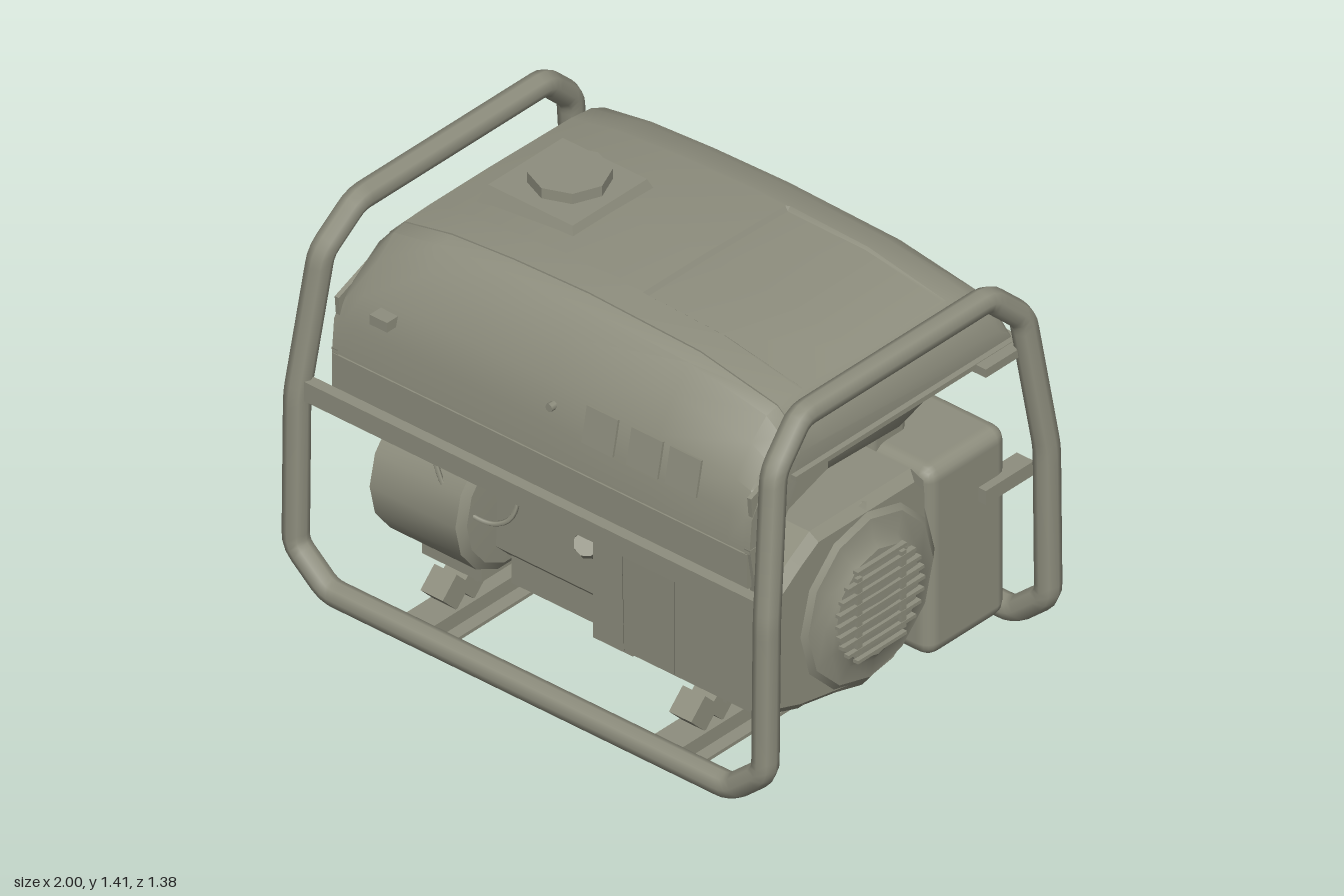
import * as THREE from 'three';
import { toCreasedNormals } from 'three/addons/utils/BufferGeometryUtils.js';
import { RoundedBoxGeometry } from 'three/addons/geometries/RoundedBoxGeometry.js';

export function createModel() {
  const model = new THREE.Group();
  const mat = new THREE.MeshStandardMaterial({ color: 0x8e8e7e, side: THREE.DoubleSide });
  mat.name = 'olive grey';

  const add = (name, geo, x = 0, y = 0, z = 0, rx = 0, ry = 0, rz = 0) => {
    const m = new THREE.Mesh(geo, mat);
    m.name = name;
    m.position.set(x, y, z);
    m.rotation.set(rx, ry, rz);
    model.add(m);
    return m;
  };
  // Box given by its min and max on each axis
  const box = (name, x0, x1, y0, y1, z0, z1) =>
    add(name, new THREE.BoxGeometry(x1 - x0, y1 - y0, z1 - z0), (x0 + x1) / 2, (y0 + y1) / 2, (z0 + z1) / 2);
  const rbox = (name, x0, x1, y0, y1, z0, z1, r) =>
    add(name, new RoundedBoxGeometry(x1 - x0, y1 - y0, z1 - z0, 2, r), (x0 + x1) / 2, (y0 + y1) / 2, (z0 + z1) / 2);
  // Lathe about the x axis; profile is [radius, x]
  const latheX = (name, profile, sides, y, z) => {
    const g = new THREE.LatheGeometry(profile.map(p => new THREE.Vector2(...p)), sides);
    g.rotateZ(-Math.PI / 2);
    return add(name, toCreasedNormals(g, 0.5), 0, y, z);
  };
  // Profile in [z, y], extruded from x0 to x1
  const extrudeX = (name, pts, x0, x1, bevel = 0) => {
    const g = new THREE.ExtrudeGeometry(new THREE.Shape(pts.map(p => new THREE.Vector2(...p))), {
      depth: x1 - x0 - 2 * bevel, bevelEnabled: bevel > 0, bevelSize: bevel, bevelThickness: bevel,
      bevelOffset: -bevel, bevelSegments: 1 });
    g.rotateY(-Math.PI / 2);
    return add(name, g, x1 - bevel, 0, 0);
  };
  // Skin through rings of [x, y, z] laid out along +x, with end caps
  const loft = (name, rings) => {
    const n = rings[0].length, idx = [], last = (rings.length - 1) * n;
    for (let i = 0; i < rings.length - 1; i++) for (let j = 0; j < n; j++) {
      const a = i * n + j, b = i * n + (j + 1) % n;
      idx.push(a, b, a + n, b, b + n, a + n);
    }
    for (let j = 1; j < n - 1; j++) idx.push(0, j + 1, j, last, last + j, last + j + 1);
    const g = new THREE.BufferGeometry();
    g.setAttribute('position', new THREE.Float32BufferAttribute(rings.flat(2), 3));
    g.setIndex(idx);
    return add(name, toCreasedNormals(g, 0.6));
  };
  const lerpTable = (t, v) => {
    let i = 0;
    while (i < t.length - 2 && v > t[i + 1][0]) i++;
    const [a, b] = [t[i], t[i + 1]];
    return a[1] + (b[1] - a[1]) * THREE.MathUtils.clamp((v - a[0]) / (b[0] - a[0]), 0, 1);
  };
  // Tube along a polyline with rounded bends
  const pipe = (name, pts, radius, bend, closed, segs, sides = 8) => {
    const v = pts.map(p => new THREE.Vector3(...p)), n = v.length, path = new THREE.CurvePath();
    const toward = (a, b) => a.clone().add(b.clone().sub(a).setLength(Math.min(bend, a.distanceTo(b) * 0.45)));
    let prev = closed ? toward(v[0], v[1]) : v[0];
    for (let k = 1; k <= (closed ? n : n - 2); k++) {
      const c = v[k % n], p = v[k - 1], q = v[(k + 1) % n];
      const s = toward(c, p), e = toward(c, q);
      path.add(new THREE.LineCurve3(prev, s));
      path.add(new THREE.QuadraticBezierCurve3(s, c, e));
      prev = e;
    }
    if (!closed) path.add(new THREE.LineCurve3(prev, v[n - 1]));
    return add(name, new THREE.TubeGeometry(path, segs, radius, sides, closed));
  };

  // Tubular frame: one closed loop over both ends and along both lower edges
  const leg = [[0.81, 0.045, 0.645], [0.945, 0.16, 0.645], [0.945, 0.7, 0.638], [0.91, 1.19, 0.568], [0.892, 1.318, 0.43]];
  const flip = (pts, sx, sz) => pts.map(([x, y, z]) => [x * sx, y, z * sz]);
  pipe('frame', [...leg, ...flip(leg, 1, -1).reverse(), ...flip(leg, -1, -1), ...flip(leg, -1, 1).reverse()], 0.043, 0.035, true, 400);
  box('frontRail', -0.92, 0.93, 0.69, 0.76, 0.61, 0.65);
  box('rearRail', -0.91, 0.91, 1.0, 1.06, -0.625, -0.6);
  box('rearRailLip', -0.91, 0.91, 1.05, 1.065, -0.625, -0.55);
  for (const s of [-1, 1]) box('tankBracket', s * 0.865 - 0.045, s * 0.865 + 0.045, 1.05, 1.08, -0.6, -0.4);

  // Hat-section cross members and rubber mounts
  for (const x of [-0.47, 0.53]) {
    for (const s of [-1, 1]) {
      box('crossMemberFlange', x + s * 0.075 - 0.027, x + s * 0.075 + 0.027, 0.012, 0.024, -0.64, 0.64);
      box('crossMemberWall', x + s * 0.05 - 0.006, x + s * 0.05 + 0.006, 0.012, 0.075, -0.64, 0.64);
    }
    box('crossMemberTop', x - 0.056, x + 0.056, 0.063, 0.075, -0.64, 0.64);
    box('mountBracket', x - 0.06, x + 0.06, 0.14, 0.18, -0.08, 0.42);
    for (const z of [0.5, 0.42, -0.1])
      add('mount', new THREE.BoxGeometry(0.09, 0.09, 0.09), x, 0.135, z, Math.PI / 4);
  }

  // Fuel tank cover with a shallow wedge recess
  const crown = [[-0.83, 1.14], [-0.8, 1.22], [-0.74, 1.285], [-0.55, 1.325], [-0.3, 1.345], [0, 1.355], [0.45, 1.34], [0.76, 1.28], [0.82, 1.23], [0.85, 1.14]];
  const edge = [[-0.585, 0], [-0.565, 0.45], [-0.53, 0.78], [-0.47, 0.91], [-0.385, 0.96], [-0.375, 0.965], [0, 1], [0.265, 1], [0.275, 1], [0.38, 0.98]];
  const xs = [...crown.map(c => c[0]), 0.125, 0.135].sort((a, b) => a - b);
  loft('tankCover', xs.map(x => {
    const h = lerpTable(crown, x);
    const ring = edge.map(([z, e]) => {
      const inside = x > 0.13 && x < 0.8 && z > -0.38 && z < 0.27;
      return [x, 1.08 + (h - 1.08) * e - (inside ? 0.016 * (0.83 - x) / 0.7 : 0), z];
    });
    return [...ring, [x, 1.08, 0.4], [x, 1.075, -0.585]];
  }));
  box('tankFlange', -0.86, 0.87, 1.065, 1.082, -0.6, 0.42);
  const basin = (x, d) => [[x, 1.07, -0.55], [x, 1.07, 0.43], [x, 1.07 - 0.15 * d, 0.43], [x, 1.07 - 0.17 * d, -0.2], [x, 1.07 - 0.06 * d, -0.54]];
  loft('tankBasin', [basin(-0.82, 0.1), basin(-0.72, 1), basin(0.74, 1), basin(0.83, 0.1)]);

  // Filler pad and cap
  const pad = new THREE.CylinderGeometry(0.24, 0.275, 0.06, 4, 1);
  pad.rotateY(Math.PI / 4);
  add('fillerPad', toCreasedNormals(pad, 0.4), -0.42, 1.345, 0);
  add('fuelCap', toCreasedNormals(new THREE.CylinderGeometry(0.13, 0.13, 0.06, 8), 0.4), -0.42, 1.382, -0.01);

  // Control panel with rounded shoulders
  const front = [[0.36, 1.35], [0.43, 1.33], [0.5, 1.25], [0.57, 1.13], [0.6, 1.0], [0.61, 0.885], [0.5, 0.885], [0.43, 0.97], [0.38, 1.06]];
  loft('controlPanel', crown.map(([x, h]) =>
    front.map(([z, y]) => [x, y > 1.1 ? 1.0 + (y - 1.0) * (h - 1.0) / 0.355 : y, z])));
  box('lowerPanel', -0.83, 0.84, 0.755, 0.88, 0.59, 0.61);
  for (const x of [0.235, 0.415, 0.57])
    add('outlet', new THREE.BoxGeometry(0.125, 0.125, 0.009), x, 1.055, 0.592, -0.2);
  add('mainSwitch', new THREE.BoxGeometry(0.07, 0.035, 0.06), -0.63, 1.08, 0.595);
  add('indicator', new THREE.CylinderGeometry(0.014, 0.014, 0.03, 8), 0.04, 1.06, 0.592, Math.PI / 2);
  for (const x of [-0.82, 0.84]) {
    extrudeX('panelBracket', [[0.58, 0.72], [0.61, 0.9], [0.5, 0.9], [0.47, 0.86], [0.54, 0.8]], x - 0.012, x + 0.012);
    extrudeX('panelEndPlate', [[0.58, 0.85], [0.6, 1.08], [0.45, 1.14], [0.43, 1.06], [0.25, 1.06], [0.25, 1.02], [0.43, 0.96], [0.5, 0.85]], x - 0.008, x + 0.008);
  }

  // Engine housing and recoil starter
  extrudeX('engineShroud', [[0.59, 0.7], [0.45, 0.8], [0.36, 0.855], [-0.1, 0.855], [-0.16, 0.78], [-0.17, 0.42], [-0.12, 0.3], [0, 0.21], [0.12, 0.19], [0.44, 0.25], [0.59, 0.3]], 0.5, 0.9, 0.03);
  extrudeX('engineFrontCover', [[0.59, 0.69], [0.1, 0.69], [0.1, 0.23], [0.4, 0.23], [0.58, 0.29]], 0.3, 0.88, 0.02);
  box('engineSideCover', 0.15, 0.31, 0.24, 0.7, 0.1, 0.53);
  latheX('recoilStarter', [[0.33, 0.8], [0.33, 0.88], [0.285, 0.915], [0.22, 0.925], [0.19, 0.945], [0, 0.955]], 12, 0.52, 0.13);
  for (let i = 0; i < 9; i++) {
    const y = -0.16 + i * 0.04, w = Math.sqrt(0.195 ** 2 - y * y);
    add('starterRib', new THREE.BoxGeometry(0.02, 0.012, 2 * w), 0.952, 0.52 + y, 0.13);
  }
  for (const z of [0.03, 0.23]) add('starterPost', new THREE.BoxGeometry(0.02, 0.28, 0.022), 0.95, 0.52, z);

  // Crankcase, sump and finned cylinder head leaning to the rear
  extrudeX('crankcase', [[0.42, 0.3], [0.42, 0.6], [0.3, 0.66], [-0.02, 0.66], [-0.12, 0.5], [-0.08, 0.28], [0, 0.24], [0.36, 0.24]], -0.36, 0.52, 0.02);
  box('sump', -0.31, 0.11, 0.16, 0.27, -0.12, 0.38);
  add('oilFiller', new THREE.CylinderGeometry(0.04, 0.05, 0.12, 8), 0.06, 0.5, 0.45, 0.9, 0, -0.5);
  const head = new THREE.Group();
  head.name = 'cylinderHead';
  head.position.set(-0.04, 0.56, -0.14);
  head.rotation.x = -1.1;
  model.add(head);
  head.add(add('cylinderBarrel', new THREE.BoxGeometry(0.24, 0.36, 0.24), 0, 0.09, 0));
  for (let i = 0; i < 6; i++)
    head.add(add('coolingFin', new THREE.BoxGeometry(0.36, 0.014, 0.34), 0, 0.02 + i * 0.042, 0));
  head.add(add('valveCover', new RoundedBoxGeometry(0.27, 0.16, 0.28, 1, 0.035), 0, 0.34, 0));

  // Carburettor, intake and air pot
  box('carburettor', -0.38, -0.16, 0.44, 0.62, -0.34, -0.14);
  add('airPot', toCreasedNormals(new THREE.CylinderGeometry(0.15, 0.12, 0.27, 8), 0.4), -0.47, 0.53, -0.33);
  pipe('intakePipe', [[-0.3, 0.55, -0.25], [-0.18, 0.68, -0.32], [0.02, 0.66, -0.3]], 0.035, 0.08, false, 16);
  pipe('ignitionLead', [[-0.5, 0.66, 0.54], [-0.42, 0.5, 0.55], [-0.3, 0.43, 0.5], [-0.22, 0.47, 0.47], [-0.22, 0.6, 0.44]], 0.009, 0.08, false, 30, 5);

  // Alternator
  latheX('alternator', [[0, -0.73], [0.21, -0.725], [0.25, -0.705], [0.25, -0.36], [0.22, -0.34], [0, -0.33]], 14, 0.435, 0.33);
  box('alternatorFoot', -0.6, -0.36, 0.18, 0.26, 0.1, 0.46);
  box('alternatorTerminalBox', -0.66, -0.4, 0.6, 0.68, 0.2, 0.45);

  // Air filter case at the rear corner
  rbox('filterCase', -0.89, -0.73, 0.13, 0.8, -0.6, -0.22, 0.025);
  box('filterDuct', -0.74, -0.5, 0.46, 0.58, -0.4, -0.26);
  extrudeX('filterHood', [[-0.57, 0.78], [-0.56, 0.85], [-0.45, 0.93], [-0.33, 0.88], [-0.28, 0.78]], -0.86, -0.7);

  // Muffler with louvred rear face and hanger strap
  rbox('muffler', 0.3, 0.88, 0.115, 0.8, -0.54, -0.175, 0.05);
  for (const x of [0.46, 0.72]) for (let g = 0; g < 3; g++) for (let i = 0; i < 3; i++)
    add('mufflerLouvre', new THREE.BoxGeometry(0.17, 0.012, 0.012), x, 0.28 + g * 0.16 + i * 0.035, -0.538, 0.4);
  box('mufflerStrap', 0.84, 0.91, 0.59, 0.64, -0.62, -0.4);
  pipe('exhaustPipe', [[0.1, 0.66, -0.36], [0.18, 0.82, -0.4], [0.4, 0.84, -0.32], [0.55, 0.76, -0.3]], 0.045, 0.1, false, 20);
  rbox('exhaustShield', 0.28, 0.66, 0.74, 0.875, -0.33, -0.16, 0.03);

  // Fuel valve and lever by the right end
  box('fuelValve', -0.86, -0.7, 0.78, 0.92, 0.02, 0.2);
  add('fuelLever', new THREE.BoxGeometry(0.14, 0.05, 0.06), -0.94, 0.85, 0.11, 0, -0.95, 0.4);
  box('sideBracket', -0.95, -0.86, 1.04, 1.07, -0.4, -0.27);
  for (const z of [0.12, -0.08]) for (const x of [-0.4, 0.55]) box('tankStay', x - 0.03, x + 0.03, 0.64, 0.92, z - 0.02, z + 0.02);
  return model;
}
